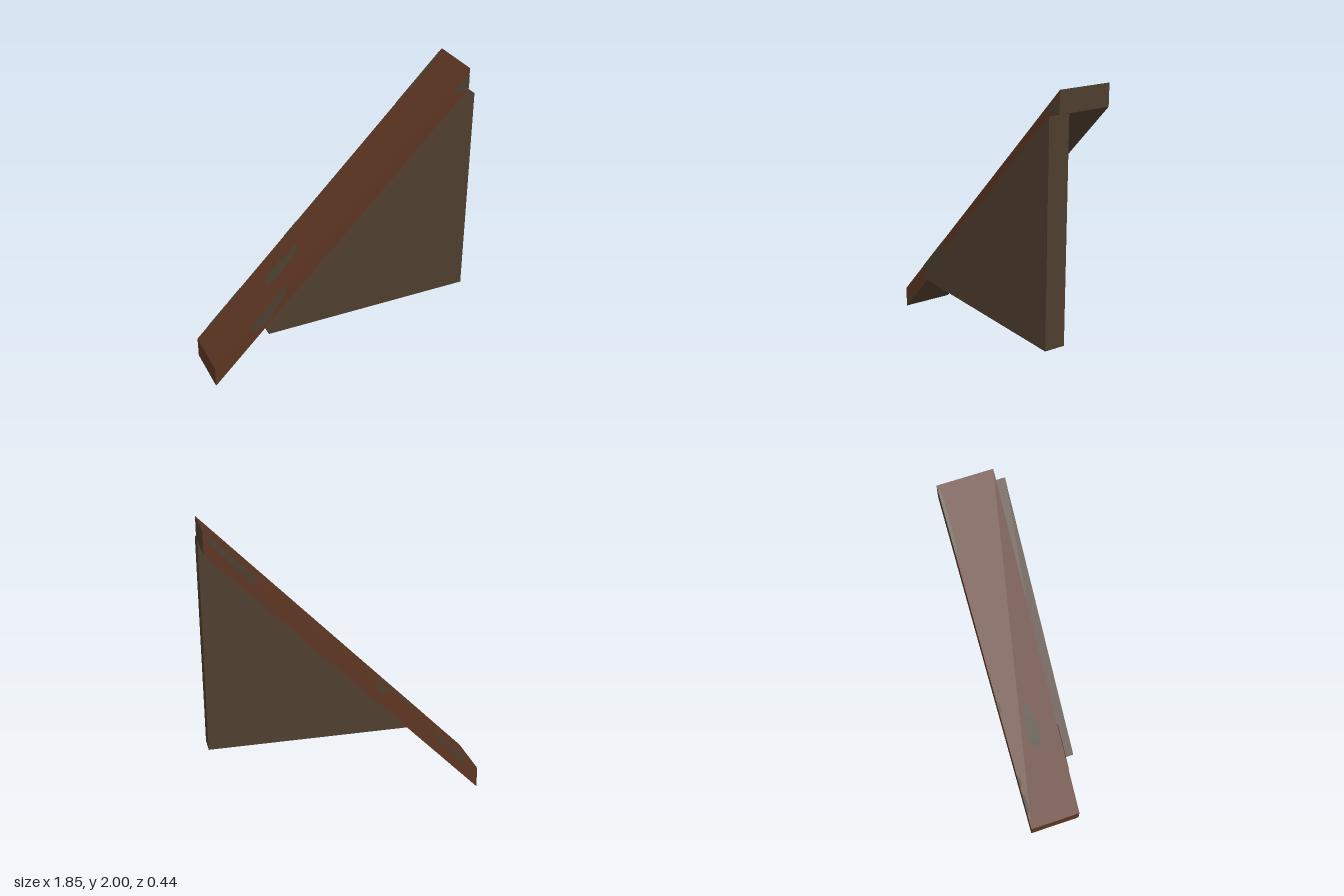
import * as THREE from 'three';

const rust = new THREE.MeshStandardMaterial({ color: 0x5c3522 });
rust.name = 'rustBrown';
const timber = new THREE.MeshStandardMaterial({ color: 0x4f3d2f });
timber.name = 'greyBrown';
const moss = new THREE.MeshStandardMaterial({ color: 0x4a3f30, side: THREE.DoubleSide });
moss.name = 'weatheredPatch';

const END = 0.924, THICK = 0.146, BACK = -0.22, FRONT = 0.146, LIFT = 0.003;
const topY = (x) => x * 1.0032 + 1.073; // height of the sloping upper face

const outline = (points) => new THREE.Shape(points.map(([x, y]) => new THREE.Vector2(x, y)));

// Flat-sided slab between two depths
function slab(points, z0, z1) {
  const g = new THREE.ExtrudeGeometry(outline(points), { depth: z1 - z0, bevelEnabled: false });
  return g.translate(0, 0, z0);
}

// Underside and high end use the second material, all else the first
function splitByFacing(geometry) {
  const n = geometry.attributes.normal;
  geometry.clearGroups();
  for (let i = 0; i < n.count; i += 3) {
    const plain = n.getX(i) > 0.9 || n.getY(i) < -0.1;
    geometry.addGroup(i, 3, plain ? 1 : 0);
  }
  return geometry;
}

export function createModel() {
  const group = new THREE.Group();
  const add = (name, geometry, material) => {
    const mesh = new THREE.Mesh(geometry, material);
    mesh.name = name;
    group.add(mesh);
  };

  // Sloping beam with vertical ends
  const beam = slab([
    [-END, topY(-END) - THICK], [END, topY(END) - THICK],
    [END, topY(END)], [-END, topY(-END)],
  ], BACK, FRONT);
  add('slopingBeam', splitByFacing(beam), [rust, timber]);

  // Triangular panel beneath the beam
  const low = 0.375;
  add('triangularPanel', slab([
    [-0.555, low], [END, low], [END, topY(END) - THICK],
  ], 0.075, 0.22), timber);

  // Weathered patches on the beam's front face
  const frontPatches = [
    [[-0.66, topY(-0.66)], [-0.62, 0.37], [-0.55, 0.41], [-0.46, 0.53], [-0.4, 0.6], [-0.38, topY(-0.38)]],
    [[0.8, 1.85], [0.85, 1.84], [END, 1.86], [END, 1.95], [0.87, 1.92]],
  ];
  for (const points of frontPatches) {
    add('frontPatch', new THREE.ShapeGeometry(outline(points)).translate(0, 0, FRONT + LIFT), moss);
  }

  // Weathered patches on the upper face, given as x and z
  const strip = (x0, x1) => [[x0, BACK], [x1, BACK], [x1 - 0.03, BACK + 0.02], [x0 + 0.03, BACK + 0.02]];
  const edges = [[-0.84, -0.7], [-0.68, -0.59], [-0.25, -0.16], [0.59, 0.91]];
  const topPatches = [
    [[-0.48, -0.03], [-0.43, -0.08], [-0.34, -0.075], [-0.3, -0.06], [-0.24, -0.06],
      [-0.23, -0.01], [-0.31, 0], [-0.38, 0.025], [-0.44, 0.01]],
    ...edges.map(([a, b]) => strip(a, b)),
  ];
  for (const points of topPatches) {
    const g = new THREE.ShapeGeometry(outline(points.map(([x, z]) => [x, -z]))).rotateX(-Math.PI / 2);
    const p = g.attributes.position;
    for (let i = 0; i < p.count; i++) p.setY(i, topY(p.getX(i)) + LIFT);
    g.computeVertexNormals();
    add('topPatch', g, moss);
  }

  // The same edge patches run over onto the back face
  for (const [a, b] of edges) {
    const points = [[-a, topY(a)], [-b, topY(b)], [0.03 - b, topY(b) - 0.07], [-a - 0.03, topY(a) - 0.03]];
    const g = new THREE.ShapeGeometry(outline(points)).rotateY(Math.PI);
    add('backPatch', g.translate(0, 0, BACK - LIFT), moss);
  }
  return group;
}
